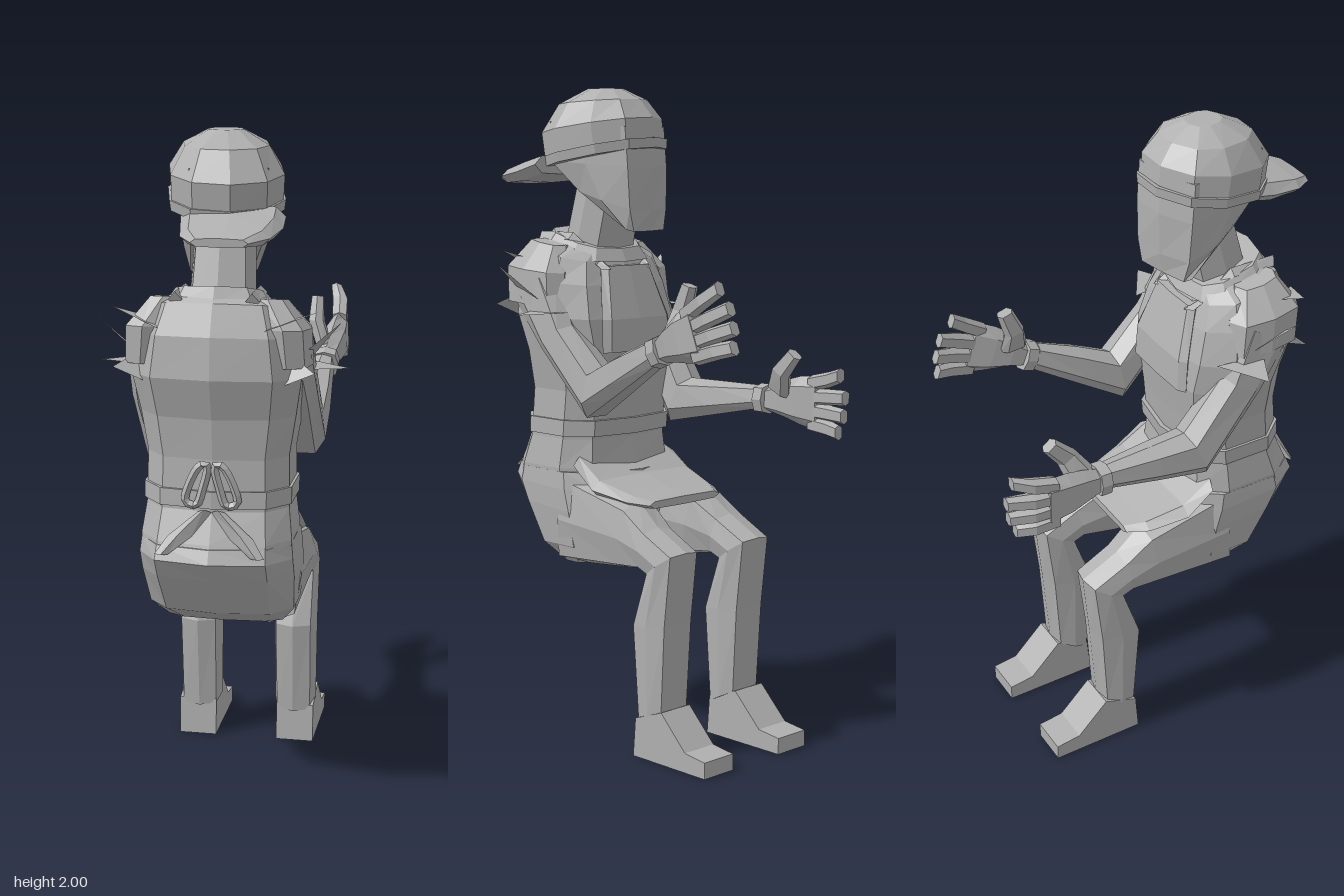
import * as THREE from 'three';

const grey = new THREE.MeshStandardMaterial({ color: 0xb0b0b0, flatShading: true, side: THREE.DoubleSide });
grey.name = 'plain grey';

function mesh(parent, name, geometry) {
  const m = new THREE.Mesh(geometry, grey);
  m.name = name;
  parent.add(m);
  return m;
}

// Loft through rings. Row: [y1, z1, y2, z2, centreX, halfWidth], the ring spans both points.
function loft(rows, n = 8, power = 0.7) {
  const soft = v => Math.sign(v) * Math.pow(Math.abs(v), power);
  const rings = rows.map(([y1, z1, y2, z2, cx, hw]) => Array.from({ length: n }, (_, i) => {
    const t = (i / n) * Math.PI * 2, c = soft(Math.cos(t)), s = soft(Math.sin(t));
    return new THREE.Vector3(cx + hw * s, (y1 + y2) / 2 + c * (y1 - y2) / 2, (z1 + z2) / 2 + c * (z1 - z2) / 2);
  }));
  const mid = r => r.reduce((a, p) => a.add(p), new THREE.Vector3()).divideScalar(n);
  const first = rings[0], last = rings[rings.length - 1], tris = [];
  const start = mid(first), end = mid(last);
  for (let i = 0; i < n; i++) {
    const j = (i + 1) % n;
    tris.push([start, first[j], first[i]], [end, last[i], last[j]]);
    for (let k = 0; k + 1 < rings.length; k++) {
      const a = rings[k], b = rings[k + 1];
      tris.push([a[i], a[j], b[j]], [a[i], b[j], b[i]]);
    }
  }
  // Turn the faces outwards
  const volume = tris.reduce((v, [a, b, c]) => v + a.dot(b.clone().cross(c)), 0);
  const points = tris.flatMap(t => (volume < 0 ? [t[0], t[2], t[1]] : t));
  const g = new THREE.BufferGeometry().setFromPoints(points);
  g.computeVertexNormals();
  return g;
}

// Flat pointed rag: two base corners and a tip
function rag(parent, side, corners) {
  const g = new THREE.BufferGeometry().setFromPoints(corners.map(([x, y, z]) => new THREE.Vector3(side * x, y, z)));
  g.computeVertexNormals();
  mesh(parent, 'tornSleevePoint', g);
}

// Hand reaching along -z from the wrist, palm inward
function makeHand(side) {
  const hand = new THREE.Group();
  mesh(hand, 'cuff', loft([[0.046, 0.01, -0.046, 0.01, 0, 0.045], [0.046, -0.025, -0.046, -0.025, 0, 0.045]]));
  mesh(hand, 'palm', loft([[0.035, -0.01, -0.035, -0.01, 0, 0.03], [0.06, -0.07, -0.05, -0.07, side * 0.01, 0.036],
    [0.078, -0.13, -0.07, -0.13, side * 0.02, 0.036], [0.085, -0.2, -0.085, -0.2, side * 0.028, 0.026]], 6));
  for (let i = 0; i < 4; i++) {
    const y = 0.06 - i * 0.041, tip = [0.095, 0.03, -0.025, -0.075][i], z = [-0.3, -0.32, -0.315, -0.295][i];
    mesh(hand, 'finger', loft([[y + 0.024, -0.17, y - 0.024, -0.17, side * 0.028, 0.025],
      [(y + tip) / 2 + 0.024, -0.245, (y + tip) / 2 - 0.024, -0.245, side * 0.022, 0.026],
      [tip + 0.023, z, tip - 0.023, z, side * 0.004, 0.018]], 6));
  }
  mesh(hand, 'thumb', loft([[0.05, -0.03, 0.01, -0.11, -side * 0.01, 0.025], [0.11, -0.075, 0.075, -0.13, -side * 0.035, 0.025],
    [0.165, -0.135, 0.135, -0.175, -side * 0.035, 0.02]], 6));
  return hand;
}

function makeTorso(root) {
  mesh(root, 'torso', loft([
    [0.79, 0.49, 0.79, 0.08, 0, 0.228], [0.84, 0.47, 0.84, 0.09, 0, 0.23], [0.93, 0.43, 0.93, 0.10, 0, 0.218],
    [1.08, 0.42, 1.08, 0.085, 0, 0.215], [1.20, 0.43, 1.20, 0.07, 0, 0.235], [1.32, 0.465, 1.30, 0.08, 0, 0.255],
    [1.44, 0.45, 1.40, 0.11, 0, 0.235], [1.53, 0.41, 1.47, 0.14, 0, 0.2], [1.56, 0.37, 1.51, 0.16, 0, 0.12]], 10));
  mesh(root, 'collar', loft([[1.53, 0.40, 1.47, 0.13, 0, 0.16], [1.575, 0.38, 1.51, 0.15, 0, 0.13]], 10));
  mesh(root, 'hips', loft([
    [0.83, 0.48, 0.83, 0.06, 0, 0.23], [0.79, 0.50, 0.77, 0.04, 0, 0.235], [0.73, 0.46, 0.70, 0.03, 0, 0.235],
    [0.60, 0.365, 0.60, 0.05, 0, 0.225], [0.54, 0.25, 0.54, 0.13, 0, 0.18]], 10));
  mesh(root, 'apronBelt', loft([[0.94, 0.437, 0.94, 0.085, 0, 0.225], [0.99, 0.435, 0.99, 0.08, 0, 0.225]], 10));
  mesh(root, 'apronBib', loft([[1.46, 0.16, 1.46, 0.115, 0, 0.1], [1.30, 0.11, 1.30, 0.065, 0, 0.14],
    [1.20, 0.10, 1.20, 0.06, 0, 0.145]], 8, 0.5));
  mesh(root, 'apronLap', loft([[0.88, 0.15, 0.83, 0.13, 0, 0.215], [0.82, 0.05, 0.76, 0.05, 0, 0.22],
    [0.785, -0.07, 0.745, -0.07, 0, 0.19], [0.77, -0.13, 0.745, -0.13, 0, 0.15]], 8, 0.45));
  for (const s of [1, -1]) {
    mesh(root, 'apronStrap', loft([[1.45, 0.15, 1.45, 0.105, s * 0.085, 0.02], [1.56, 0.25, 1.52, 0.25, s * 0.11, 0.02],
      [1.56, 0.40, 1.51, 0.38, s * 0.11, 0.02]], 4));
    // Bow tied at the back
    const bow = new THREE.CatmullRomCurve3([[0.012, 1.07], [0.03, 1.07], [0.065, 1.01], [0.075, 0.96], [0.045, 0.95], [0.025, 1.0]]
      .map(([x, y]) => new THREE.Vector3(s * x, y, 0.436)), true);
    mesh(root, 'bowLoop', new THREE.TubeGeometry(bow, 18, 0.012, 4, true));
    mesh(root, 'bowTail', loft([[0.94, 0.445, 0.92, 0.42, s * 0.02, 0.02], [0.87, 0.465, 0.85, 0.44, s * 0.09, 0.035],
      [0.81, 0.485, 0.81, 0.465, s * 0.14, 0.02]], 4));
  }
}

function makeHead(root) {
  mesh(root, 'neck', loft([[1.50, 0.35, 1.46, 0.17, 0, 0.1], [1.72, 0.29, 1.64, 0.13, 0, 0.09]]));
  // The head looks slightly to one side
  const head = new THREE.Group(), inner = new THREE.Group();
  head.name = 'head';
  head.position.set(0.005, 0, 0.22);
  head.rotation.y = 0.24;
  inner.position.z = -0.22;
  head.add(inner);
  root.add(head);
  mesh(inner, 'face', loft([[1.58, 0.10, 1.565, 0.055, 0, 0.1], [1.69, 0.26, 1.63, 0.045, 0, 0.122],
    [1.78, 0.37, 1.76, 0.04, 0, 0.13], [1.90, 0.37, 1.88, 0.05, 0, 0.13]], 8, 0.45));
  mesh(inner, 'capDome', loft([[1.755, 0.40, 1.85, 0.04, 0, 0.165], [1.86, 0.415, 1.91, 0.045, 0, 0.168],
    [1.95, 0.36, 1.965, 0.09, 0, 0.125], [1.998, 0.27, 1.998, 0.16, 0, 0.05]], 10, 0.88));
  mesh(inner, 'capBand', loft([[1.755, 0.402, 1.82, 0.03, 0, 0.168], [1.785, 0.408, 1.85, 0.028, 0, 0.172]], 10, 0.85));
  mesh(root, 'capBrim', loft([[1.80, 0.33, 1.735, 0.33, 0.045, 0.15], [1.78, 0.41, 1.71, 0.41, 0.055, 0.145],
    [1.755, 0.51, 1.705, 0.51, 0.055, 0.125], [1.735, 0.57, 1.71, 0.57, 0.05, 0.08]], 8, 0.6));
}

function makeArm(root, side) {
  const x = v => side * v, raised = side > 0;
  const arm = new THREE.Group();
  arm.name = raised ? 'leftArm' : 'rightArm';
  root.add(arm);
  const lower = raised
    ? [[1.285, 0.14, 1.21, 0.25, x(0.215), 0.06], [1.17, 0.02, 1.01, 0.045, x(0.205), 0.07],
      [1.22, -0.09, 1.08, -0.07, x(0.215), 0.058], [1.27, -0.22, 1.20, -0.26, x(0.225), 0.036]]
    : [[1.27, 0.16, 1.20, 0.28, x(0.215), 0.06], [1.10, 0.04, 0.955, 0.10, x(0.2), 0.07],
      [1.10, -0.08, 0.99, -0.07, x(0.208), 0.058], [1.10, -0.24, 1.03, -0.26, x(0.218), 0.036]];
  mesh(arm, 'bareArm', loft([[1.44, 0.22, 1.34, 0.37, x(0.21), 0.06], ...lower], 7));
  mesh(arm, 'shoulderSleeve', loft([[1.54, 0.37, 1.52, 0.24, x(0.15), 0.05], [1.46, 0.42, 1.44, 0.19, x(0.2), 0.068],
    [1.35, 0.41, 1.34, 0.18, x(0.21), 0.062]]));
  // Ragged sleeve edge
  for (const corners of [
    [[0.23, 1.325, 0.13], [0.25, 1.325, 0.28], [0.372, 1.32, 0.22]],
    [[0.24, 1.33, 0.21], [0.22, 1.36, 0.35], [0.355, 1.475, 0.335]],
    [[0.19, 1.47, 0.32], [0.15, 1.46, 0.44], [0.295, 1.51, 0.385]],
    [[0.22, 1.38, 0.36], [0.2, 1.30, 0.40], [0.29, 1.34, 0.41]]]) rag(arm, side, corners);
  const hand = makeHand(side);
  hand.name = 'hand';
  hand.position.set(x(raised ? 0.23 : 0.22), raised ? 1.235 : 1.06, -0.25);
  hand.rotation.x = raised ? 0.37 : 0;
  arm.add(hand);
}

function makeLeg(root, side) {
  const c = side * 0.155;
  const leg = new THREE.Group();
  leg.name = side > 0 ? 'leftLeg' : 'rightLeg';
  root.add(leg);
  mesh(leg, 'trouserLeg', loft([
    [0.83, 0.18, 0.53, 0.22, side * 0.135, 0.093], [0.765, -0.08, 0.555, -0.04, side * 0.145, 0.082],
    [0.70, -0.17, 0.57, -0.14, c, 0.072], [0.64, -0.29, 0.56, -0.165, c, 0.07],
    [0.42, -0.27, 0.40, -0.105, c, 0.07], [0.16, -0.25, 0.10, -0.13, c, 0.067]], 8, 0.65));
  // Shoe from its side outline
  const outline = [[-0.13, 0], [-0.43, 0], [-0.43, 0.05], [-0.35, 0.06], [-0.25, 0.16], [-0.14, 0.12]];
  const shoe = new THREE.ExtrudeGeometry(new THREE.Shape(outline.map(p => new THREE.Vector2(...p))), { depth: 0.12, bevelEnabled: false });
  shoe.rotateY(-Math.PI / 2).translate(side * 0.16 + 0.06, 0, 0);
  mesh(leg, 'shoe', shoe);
}

export function createModel() {
  const root = new THREE.Group();
  root.name = 'seatedFigure';
  makeTorso(root);
  makeHead(root);
  for (const side of [1, -1]) {
    makeArm(root, side);
    makeLeg(root, side);
  }
  return root;
}
